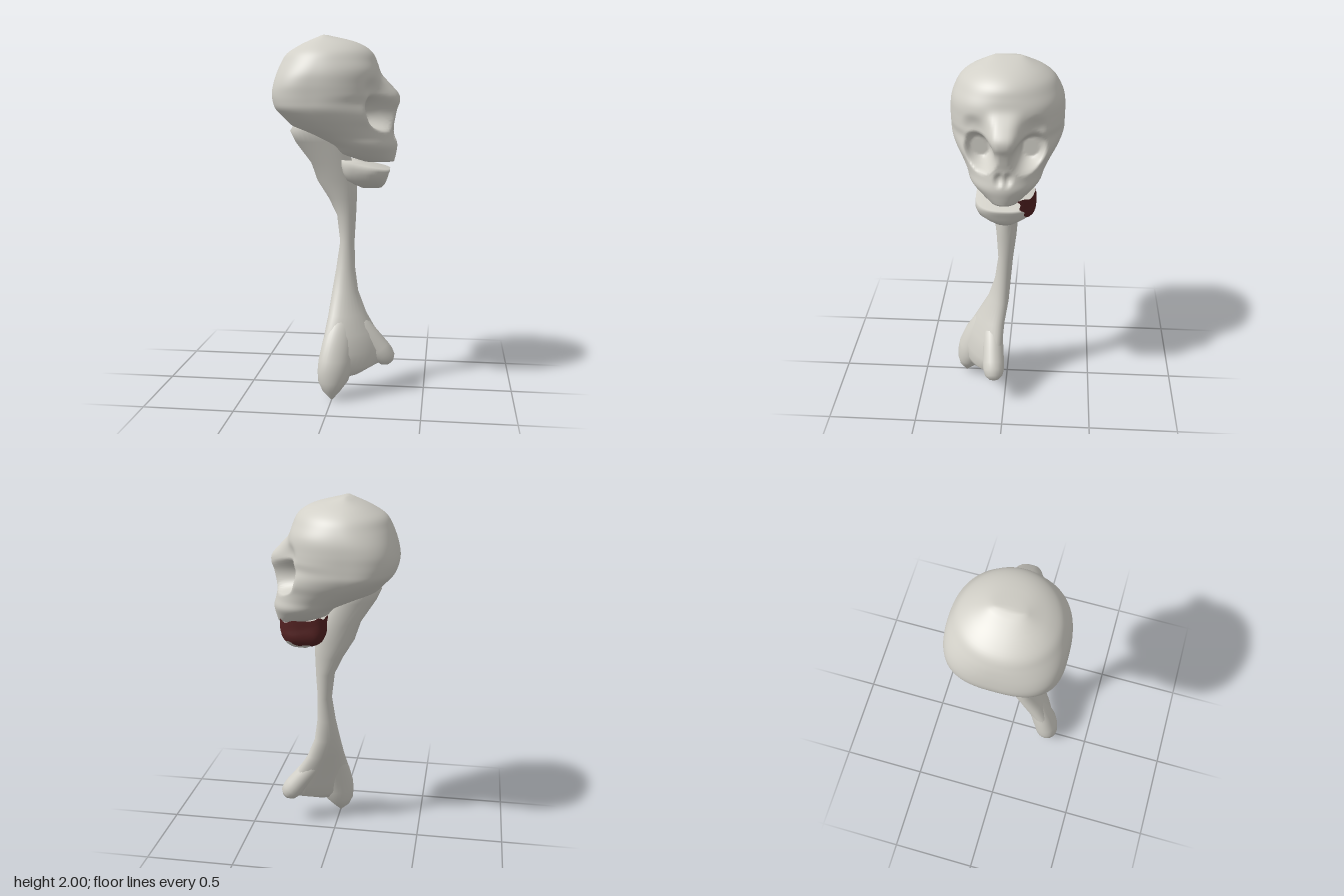
import * as THREE from 'three';

const { lerp, smoothstep } = THREE.MathUtils;

// Surface through stacked rings of points (bottom to top); closed rings get end caps.
function loft(rings, closed = true) {
  const n = rings[0].length, pos = [], idx = [];
  rings.forEach(r => r.forEach(p => pos.push(...p)));
  const last = closed ? n : n - 1;
  for (let i = 0; i < rings.length - 1; i++) {
    for (let j = 0; j < last; j++) {
      const k = (j + 1) % n, a = i * n + j, b = a + n, c = i * n + k, d = c + n;
      idx.push(a, b, c, b, d, c);
    }
  }
  if (closed) {
    [0, rings.length - 1].forEach((i, top) => {
      const m = pos.length / 3;
      pos.push(...[0, 1, 2].map(q => rings[i].reduce((s, p) => s + p[q], 0) / n));
      for (let j = 0; j < n; j++) {
        const a = i * n + j, b = i * n + (j + 1) % n;
        idx.push(...(top ? [m, b, a] : [m, a, b]));
      }
    });
  }
  const g = new THREE.BufferGeometry();
  g.setAttribute('position', new THREE.Float32BufferAttribute(pos, 3));
  g.setIndex(idx);
  g.computeVertexNormals();
  return g;
}

// Row of a table at height y, on a smooth curve through its neighbours.
function rowAt(table, y) {
  let i = 0;
  while (i < table.length - 2 && y > table[i + 1][0]) i++;
  const r0 = table[Math.max(i - 1, 0)], r1 = table[i], r2 = table[i + 1];
  const r3 = table[Math.min(i + 2, table.length - 1)];
  const h = r2[0] - r1[0], t = (y - r1[0]) / h, s = t * t * (3 - 2 * t);
  return r1.map((v, k) => {
    const m1 = (r2[k] - r0[k]) / (r2[0] - r0[0]), m2 = (r3[k] - r1[k]) / (r3[0] - r1[0]);
    return lerp(v, r2[k], s) + h * t * (1 - t) * (m1 * (1 - t) - m2 * t);
  });
}

// Rounded outline running from xb to xf, widest (hw) at cx; pb and pf set the squareness.
function outline(theta, xb, xf, hw, cx, pb, pf) {
  const c = Math.cos(theta), s = Math.sin(theta), p = c > 0 ? pf : pb;
  const cp = Math.abs(c) ** (2 / p), sp = Math.abs(s) ** (2 / p);
  return [cx + (c > 0 ? xf - cx : xb - cx) * cp, Math.sign(s) * hw * sp];
}

// Skull levels: y, back x, front x, half width, x of widest point, brow bulge
const SKULL = [
  [1.31, 0.15, 0.318, 0.08, 0.22, 0],
  [1.35, 0.03, 0.328, 0.135, 0.17, 0],
  [1.40, -0.02, 0.335, 0.185, 0.14, 0],
  [1.45, -0.13, 0.325, 0.21, 0.08, 0],
  [1.50, -0.24, 0.315, 0.245, 0.01, 0],
  [1.55, -0.29, 0.322, 0.28, -0.05, 0],
  [1.60, -0.335, 0.293, 0.302, -0.08, 0.04],
  [1.64, -0.35, 0.257, 0.305, -0.09, 0.09],
  [1.68, -0.355, 0.25, 0.306, -0.09, 0.092],
  [1.73, -0.348, 0.245, 0.306, -0.09, 0.055],
  [1.79, -0.333, 0.24, 0.299, -0.08, 0.005],
  [1.85, -0.311, 0.222, 0.277, -0.07, 0],
  [1.90, -0.28, 0.20, 0.246, -0.06, 0],
  [1.94, -0.22, 0.155, 0.195, -0.06, 0],
  [1.97, -0.16, 0.085, 0.138, -0.06, 0],
  [2.00, -0.085, -0.045, 0.075, -0.065, 0],
];

function skullGeometry() {
  const rings = [], N = 128, ROWS = 64;
  for (let i = 0; i <= ROWS; i++) {
    const y = lerp(1.31, 2, i / ROWS);
    const [, xb, xf, hw, cx, brow] = rowAt(SKULL, y);
    const back = lerp(lerp(2.2, 2.8, smoothstep(y, 1.45, 1.62)), 2.1, smoothstep(y, 1.7, 1.88));
    const front = lerp(2, 2.3, smoothstep(y, 1.6, 1.68) - smoothstep(y, 1.8, 1.9));
    rings.push(Array.from({ length: N }, (_, j) => {
      const th = j / N * Math.PI * 2;
      let [x, z] = outline(th, xb, xf, hw, cx, back, front);
      if (Math.cos(th) > 0) {
        const az = Math.abs(z);
        x += brow * Math.exp(-((z / 0.085) ** 4));
        // eye sockets, leaning outward at the top
        const eye = Math.hypot((y - 1.58) / 0.105, (az - 0.132 - 0.1 * (y - 1.58)) / 0.1);
        x = lerp(x, Math.min(x, 0.155), 1 - smoothstep(eye, 0.5, 1));
        // hollow temples beside the brow
        const temple = Math.hypot((y - 1.7) / 0.08, (az - 0.16) / 0.075);
        x -= 0.018 * (1 - smoothstep(temple, 0.1, 1));
        // nostrils
        const nose = Math.hypot((y - 1.46) / 0.045, (az - 0.022) / 0.035);
        x -= 0.02 * (1 - smoothstep(nose, 0.1, 1));
      }
      return [x, y, z];
    }));
  }
  return loft(rings);
}

// Jaw levels: y, back x, front x, half width, downward tilt to the front
const JAW = [
  [1.163, 0.15, 0.25, 0.065, 0],
  [1.185, 0.1, 0.27, 0.105, 0],
  [1.21, 0.06, 0.28, 0.145, 0],
  [1.245, 0.04, 0.288, 0.16, 0.06],
  [1.27, 0.032, 0.295, 0.16, 0.12],
  [1.295, 0.03, 0.296, 0.157, 0.19],
];
function jawPoint(y, th, grow = 0) {
  const [, xb, xf, hw, tilt] = rowAt(JAW, Math.min(y, 1.295));
  const [x, z] = outline(th, xb - grow, xf + grow, hw + grow, 0.15, 4.5, 2.6);
  return [x, y - tilt * (x - 0.16), z];
}

function jawGeometry() {
  return loft(JAW.map(r => Array.from({ length: 64 }, (_, j) => jawPoint(r[0], j / 64 * Math.PI * 2))));
}

// Torn flesh over one side of the jaw, reaching further forward and upward at the top
function fleshGeometry() {
  const rings = [], ROWS = 10, COLS = 28;
  for (let i = 0; i <= ROWS; i++) {
    const t = i / ROWS, ring = [];
    const start = Math.PI + 0.2 + 0.08 * Math.sin(i * 1.1);
    const end = Math.PI * 2 - lerp(0.68, 0.36, t) + 0.06 * Math.sin(i * 1.3);
    for (let j = 0; j <= COLS; j++) {
      const u = j / COLS;
      const low = 1.195 + 0.035 * smoothstep(u, 0.6, 1) + 0.008 * Math.sin(j * 0.9);
      const high = 1.33 + 0.025 * u + 0.006 * Math.sin(j * 0.8);
      ring.push(jawPoint(lerp(low, high, t), lerp(start, end, u), 0.006));
    }
    rings.push(ring);
  }
  return loft(rings, false);
}

// Rings from rows: y, centre x, centre z, half length, half thickness, turn
function ellipseLoft(rows, n = 28) {
  return loft(rows.map(([y, cx, cz, a, b, turn = 0]) => Array.from({ length: n }, (_, j) => {
    const th = j / n * Math.PI * 2, u = a * Math.cos(th), v = b * Math.sin(th);
    return [cx + u * Math.cos(turn) - v * Math.sin(turn), y, cz + u * Math.sin(turn) + v * Math.cos(turn)];
  })));
}

export function createModel() {
  const bone = new THREE.MeshStandardMaterial({ color: 0xd2d0c8 });
  bone.name = 'bone';
  const flesh = new THREE.MeshStandardMaterial({ color: 0x522121 });
  flesh.name = 'darkRedFlesh';

  const model = new THREE.Group();
  model.name = 'skullOnBone';
  const add = (name, geometry, material = bone) => {
    const m = new THREE.Mesh(geometry, material);
    m.name = name;
    model.add(m);
    return m;
  };

  add('skull', skullGeometry());
  add('jaw', jawGeometry());
  add('jawFlesh', fleshGeometry(), flesh);

  // Shaft flares diagonally into the skull above and into a blade below
  add('boneShaft', ellipseLoft([
    [0.125, 0.07, 0.19, 0.08, 0.035, -0.56],
    [0.17, 0.10, 0.16, 0.17, 0.058, -0.56],
    [0.25, 0.105, 0.145, 0.19, 0.07, -0.56],
    [0.35, 0.09, 0.12, 0.16, 0.07, -0.56],
    [0.45, 0.068, 0.09, 0.115, 0.066, -0.56],
    [0.57, 0.05, 0.048, 0.077, 0.056, -0.5],
    [0.70, 0.05, 0.022, 0.054, 0.046, -0.3],
    [0.85, 0.057, 0.005, 0.041, 0.042, 0],
    [1.00, 0.052, 0, 0.054, 0.056, 0],
    [1.10, 0.03, 0.002, 0.08, 0.066, -0.1],
    [1.20, 0, 0.004, 0.113, 0.08, -0.25],
    [1.30, -0.03, 0.015, 0.118, 0.085, -0.4],
    [1.42, -0.09, 0.035, 0.148, 0.088, -0.55],
    [1.48, -0.125, 0.05, 0.14, 0.085, -0.56],
    [1.53, -0.15, 0.06, 0.08, 0.06, -0.56],
  ]));

  // Long knuckle at the lower end
  add('lowerKnuckle', ellipseLoft([
    [0, 0, 0.25, 0.006, 0.006],
    [0.05, -0.003, 0.24, 0.052, 0.052, -0.4],
    [0.10, 0.005, 0.228, 0.085, 0.072, -0.45],
    [0.16, 0.012, 0.22, 0.098, 0.075, -0.5],
    [0.22, 0.018, 0.207, 0.1, 0.076, -0.5],
    [0.32, 0.03, 0.172, 0.095, 0.066, -0.56],
    [0.42, 0.045, 0.125, 0.078, 0.055, -0.56],
    [0.5, 0.05, 0.08, 0.04, 0.04, -0.56],
  ]));

  // Side knuckle tapering back into the shaft
  const profile = [[0, -0.066], [0.026, -0.06], [0.05, -0.038], [0.061, 0], [0.062, 0.04],
    [0.06, 0.11], [0.058, 0.2], [0.045, 0.29], [0, 0.33]];
  const side = add('sideKnuckle', new THREE.LatheGeometry(profile.map(p => new THREE.Vector2(...p)), 24));
  side.position.set(0.272, 0.213, 0.062);
  side.quaternion.setFromUnitVectors(new THREE.Vector3(0, 1, 0), new THREE.Vector3(-0.62, 0.78, 0.06).normalize());

  return model;
}
